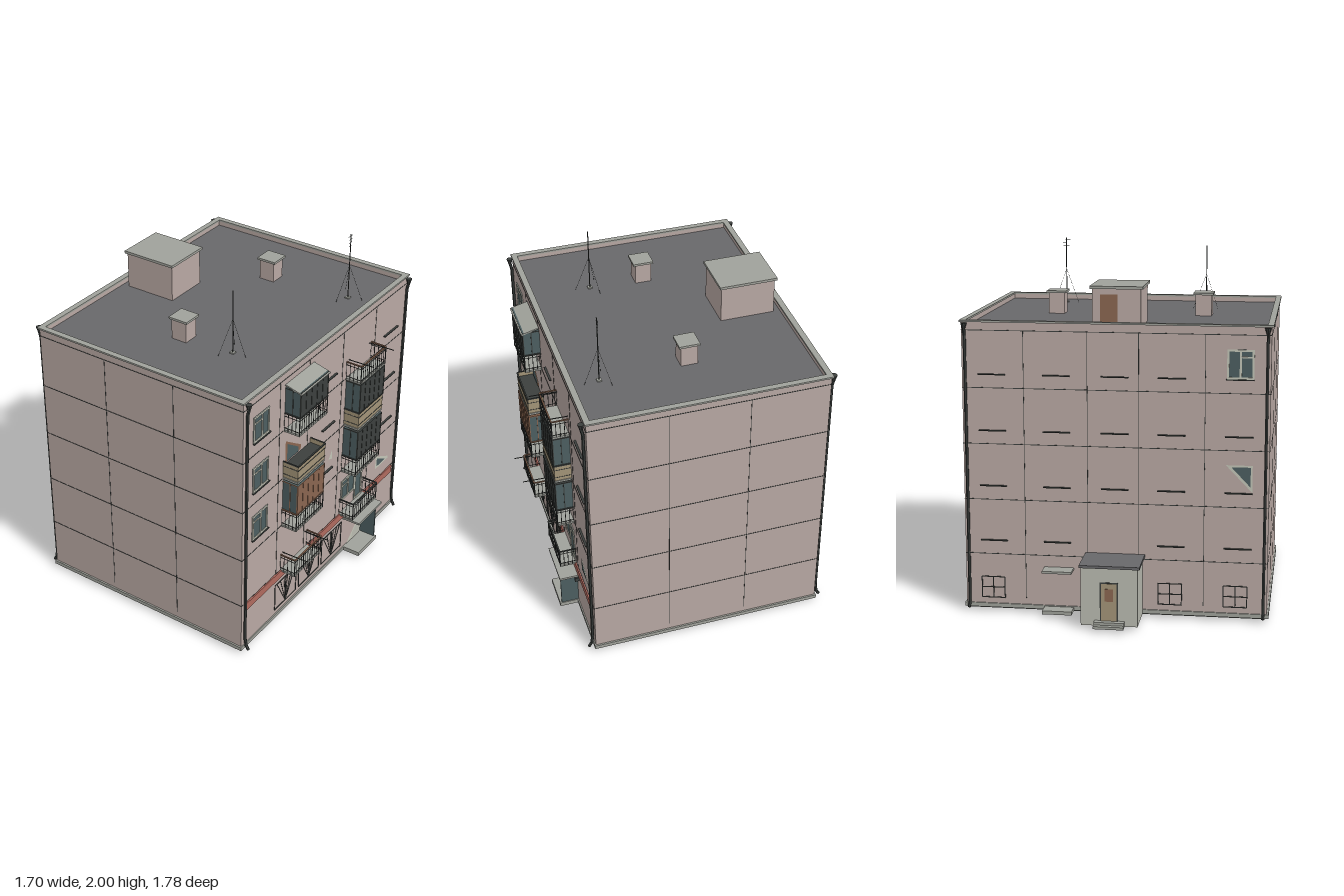
import * as THREE from 'three';

const COLORS = {
  wall: 0xb9a9a4, deck: 0x68686a, trim: 0xa0a29b, glass: 0x4d5f61, frame: 0xc4c6b8, tan: 0xa39478,
  red: 0xb06a5f, dark: 0x3c403e, plinth: 0x8d958e, wood: 0x8a6650, porch: 0xb9bab0,
};
const mats = {};
const mat = (c) => (mats[c] ??= new THREE.MeshStandardMaterial({ color: COLORS[c], flatShading: true, side: THREE.DoubleSide }));

export function createModel() {
  const root = new THREE.Group();
  const group = (name, parent = root) => {
    const g = new THREE.Group();
    g.name = name;
    parent.add(g);
    return g;
  };
  const add = (p, name, c, geo) => {
    const m = new THREE.Mesh(geo, mat(c));
    m.name = name;
    p.add(m);
    return m;
  };
  // box given by its limits
  const box = (p, name, c, x0, x1, y0, y1, z0, z1) => {
    const m = add(p, name, c, new THREE.BoxGeometry(Math.abs(x1 - x0), Math.abs(y1 - y0), Math.abs(z1 - z0)));
    m.position.set((x0 + x1) / 2, (y0 + y1) / 2, (z0 + z1) / 2);
    return m;
  };
  // thin round bar between two points
  const bar = (p, name, c, a, b, r = 0.002) => {
    const A = new THREE.Vector3(...a), d = new THREE.Vector3(...b).sub(A);
    const m = add(p, name, c, new THREE.CylinderGeometry(r, r, d.length(), 6));
    m.position.copy(A).addScaledVector(d, 0.5);
    m.quaternion.setFromUnitVectors(new THREE.Vector3(0, 1, 0), d.normalize());
    return m;
  };
  const poly = (p, name, c, pts, z) => {
    const m = add(p, name, c, new THREE.ShapeGeometry(new THREE.Shape(pts.map((q) => new THREE.Vector2(...q)))));
    m.position.z = z;
    return m;
  };
  // rectangular ring around the building
  const ring = (p, name, c, ox, oz0, oz1, t, y0, y1) => {
    const rect = (x, a, b, S) => new S([[-x, -a], [x, -a], [x, -b], [-x, -b]].map((q) => new THREE.Vector2(...q)));
    const s = rect(ox, oz0, oz1, THREE.Shape);
    s.holes.push(rect(ox - t, oz0 + t, oz1 - t, THREE.Path));
    const m = add(p, name, c, new THREE.ExtrudeGeometry(s, { depth: y1 - y0, bevelEnabled: false }));
    m.rotation.x = -Math.PI / 2;
    m.position.y = y0;
  };
  const FRONT = 0.728, BACK = -0.603;

  // main body, roof and parapet
  const body = group('building');
  box(body, 'plinth', 'plinth', -0.83, 0.83, 0, 0.03, -0.555, 0.70);
  box(body, 'walls', 'wall', -0.84, 0.84, 0.025, 1.6, BACK, FRONT);
  box(body, 'roofDeck', 'deck', -0.82, 0.82, 1.59, 1.605, -0.585, 0.705);
  ring(body, 'baseTrim', 'trim', 0.85, -0.61, 0.735, 0.03, 0.022, 0.045);
  ring(body, 'parapet', 'wall', 0.84, BACK, FRONT, 0.02, 1.6, 1.635);
  ring(body, 'parapetCap', 'trim', 0.85, -0.612, 0.735, 0.033, 1.632, 1.642);
  box(body, 'redBand', 'red', -0.8, 0.8, 0.285, 0.333, FRONT, 0.737);

  // panel joints
  const seams = group('panelSeams');
  for (const y of [0.333, 0.645, 0.96, 1.272, 1.588])
    box(seams, 'floorSeam', 'dark', -0.8415, 0.8415, y - 0.002, y + 0.002, BACK - 0.0015, FRONT + 0.0015);
  for (const x of [-0.5, -0.215, 0.135, 0.49]) box(seams, 'frontSeam', 'dark', x - 0.0015, x + 0.0015, 0.335, 1.588, FRONT, FRONT + 0.0015);
  for (const x of [-0.49, -0.13, 0.15, 0.5]) box(seams, 'backSeam', 'dark', x - 0.0015, x + 0.0015, 0.08, 1.588, BACK, BACK - 0.0015);
  for (const z of [0.29, -0.16]) box(seams, 'sideSeam', 'dark', -0.8415, 0.8415, 0.08, 1.588, z - 0.0015, z + 0.0015);

  // downpipes at the four corners
  const pipes = group('downpipes');
  for (const x of [-0.82, 0.82])
    for (const [z, s] of [[FRONT, 1], [BACK, -1]]) {
      const path = [[0.025, 0.035], [0.05, 0.02], [0.1, 0.012], [1.56, 0.012], [1.6, 0.02]];
      const pts = path.map(([y, o]) => new THREE.Vector3(x, y, z + s * o));
      path.slice(1).forEach((_, i) => bar(pipes, 'pipe', 'dark', pts[i].toArray(), pts[i + 1].toArray(), 0.009));
      const h = add(pipes, 'rainHead', 'dark', new THREE.CylinderGeometry(0.018, 0.008, 0.035, 8));
      h.position.set(x, 1.612, z + s * 0.02);
    }

  // casement window on the front (s = 1) or back (s = -1)
  const windowAt = (name, x0, x1, y0, y1, s = 1, mullion = 0.5) => {
    const g = group(name), z = s > 0 ? FRONT : BACK, xm = x0 + (x1 - x0) * mullion, t = 0.011;
    box(g, 'glass', 'glass', x0, x1, y0, y1, z, z + s * 0.002);
    for (const x of [x0, xm - t / 2, x1 - t]) box(g, 'stile', 'frame', x, x + t, y0, y1, z, z + s * 0.006);
    for (const y of [y0, y1 - t]) box(g, 'rail', 'frame', x0, x1, y, y + t, z, z + s * 0.006);
    box(g, 'transom', 'frame', x0, xm, y1 - 0.045, y1 - 0.037, z, z + s * 0.006);
  };
  const sill = (x, y, w, s) => {
    const z = s > 0 ? FRONT : BACK;
    box(root, 'windowSill', 'dark', x - w / 2, x + w / 2, y - 0.003, y + 0.003, z, z + s * 0.012);
  };
  for (const y of [0.727, 1.038, 1.35]) {
    windowAt('frontWindow', -0.75, -0.605, y, y + 0.155, 1, 0.55);
    sill(-0.675, y - 0.003, 0.155, 1);
    sill(0.672, y - 0.003, 0.155, 1);
    sill(0, y + 0.015, 0.13, 1);
  }
  windowAt('backWindow', -0.75, -0.605, 1.35, 1.51, -1);
  for (const y of [0.415, 0.727, 1.038, 1.35])
    for (const x of [-0.675, -0.31, 0, 0.32, 0.675]) if (x || y > 0.5) sill(x, y - 0.003, 0.15, -1);
  // partly covered windows
  poly(root, 'partWindow', 'frame', [[0.595, 0.415], [0.75, 0.415], [0.75, 0.43], [0.595, 0.51]], FRONT + 0.003);
  poly(root, 'partGlass', 'glass', [[0.607, 0.43], [0.715, 0.43], [0.607, 0.49]], FRONT + 0.005);
  poly(root, 'partWindow', 'wood', [[-0.44, 1.06], [-0.285, 1.06], [-0.285, 1.09], [-0.44, 1.195]], FRONT + 0.003);
  poly(root, 'partGlass', 'glass', [[-0.425, 1.06], [-0.31, 1.06], [-0.31, 1.09], [-0.425, 1.17]], FRONT + 0.005);
  poly(root, 'stairGlass', 'frame', [[0.025, 0.81], [0.06, 0.80], [0.06, 0.865]], FRONT + 0.003);
  poly(root, 'partWindow', 'frame', [[-0.605, 0.88], [-0.75, 0.88], [-0.75, 0.73]], BACK - 0.003);
  poly(root, 'partGlass', 'glass', [[-0.635, 0.87], [-0.74, 0.87], [-0.74, 0.76]], BACK - 0.005);
  // balcony window and door on the first floor
  windowAt('balconyWindow', 0.19, 0.345, 0.42, 0.56);
  windowAt('balconyDoor', 0.345, 0.43, 0.34, 0.56, 1, 0.9);

  // balconies: x range, floor level, and how each is enclosed
  const balcony = (x0, x1, y, { panel, glazed, roof, mullion = 'dark', rods }) => {
    const g = group('balcony'), z0 = FRONT, z1 = 0.823, top = y + 0.11;
    box(g, 'slab', 'trim', x0, x1, y - 0.006, y + 0.006, z0, z1);
    if (panel) {
      box(g, 'frontPanel', 'tan', x0, x1, y + 0.01, top, z1 - 0.004, z1);
      for (const x of [x0, x1 - 0.004]) box(g, 'sidePanel', 'tan', x, x + 0.004, y + 0.01, top, z0, z1);
      for (const h of [0.03, 0.08]) box(g, 'panelRail', 'dark', x0 - 0.001, x1 + 0.001, y + h, y + h + 0.004, z0, z1 + 0.002);
    } else {
      for (let i = 0; i <= 12; i++) {
        const x = x0 + ((x1 - x0) * i) / 12;
        bar(g, 'baluster', 'dark', [x, y, z1], [x, top, z1], i % 4 ? 0.0018 : 0.0035);
      }
      for (const x of [x0, x1])
        for (let i = 0; i < 4; i++) bar(g, 'sideBaluster', 'dark', [x, y, z0 + 0.024 * i], [x, top, z0 + 0.024 * i]);
      for (const h of [y + 0.02, top - 0.018]) {
        bar(g, 'lowRail', 'dark', [x0, h, z1], [x1, h, z1]);
        for (const x of [x0, x1]) bar(g, 'sideRail', 'dark', [x, h, z0], [x, h, z1]);
      }
    }
    box(g, 'handRail', mullion, x0, x1, top - 0.003, top + 0.004, z1 - 0.004, z1 + 0.004);
    for (const x of [x0, x1]) box(g, 'sideHandRail', mullion, x - 0.003, x + 0.003, top - 0.003, top + 0.004, z0, z1);
    if (glazed) {
      const gy = glazed;
      box(g, 'glazing', 'glass', x0 + 0.003, x1 - 0.003, top, gy, z0, z1);
      for (let i = 0; i <= 5; i++) {
        const x = x0 + ((x1 - x0 - 0.005) * i) / 5;
        box(g, 'mullion', mullion, x, x + 0.005, top, gy, z1, z1 + 0.003);
      }
      for (const z of [z0 + 0.045, z1 - 0.004]) box(g, 'sideMullion', mullion, x0, x1, top, gy, z, z + 0.005);
      box(g, 'headRail', mullion, x0, x1, gy - 0.006, gy, z0, z1 + 0.003);
    }
    if (roof) box(g, 'slopedRoof', 'trim', x0 - 0.003, x1 + 0.003, roof - 0.004, roof + 0.004, z0, z1 + 0.012).rotation.x = 0.26;
    if (rods) for (const x of [x0 + 0.022, x1 - 0.022]) bar(g, 'dryingRod', 'dark', [x, top + 0.004, z0], [x, top + 0.008, 0.885], 0.003);
  };
  const L = [-0.455, -0.18], R = [0.18, 0.45];
  balcony(...L, 1.27, { glazed: 1.535, roof: 1.54 });
  balcony(...L, 0.963, { panel: true });
  balcony(...L, 0.645, { glazed: 0.945, mullion: 'wood' });
  balcony(...L, 0.33, { rods: true, mullion: 'wood' });
  balcony(...R, 1.27, { rods: true, mullion: 'wood' });
  balcony(...R, 0.963, { panel: true, glazed: 1.26 });
  balcony(...R, 0.645, { glazed: 0.945 });
  balcony(...R, 0.33, {});

  // ground-floor window grilles with fanned bars
  const grille = (x0, x1, y0, y1, s, fan) => {
    const g = group('windowGrille'), z = s > 0 ? FRONT + 0.005 : BACK - 0.005, xm = (x0 + x1) / 2;
    for (const y of [y0, y1]) bar(g, 'frameBar', 'dark', [x0, y, z], [x1, y, z], 0.003);
    for (const x of [x0, xm, x1]) bar(g, 'frameBar', 'dark', [x, y0, z], [x, y1, z], 0.003);
    if (!fan) return bar(g, 'crossBar', 'dark', [x0, (y0 + y1) / 2, z], [x1, (y0 + y1) / 2, z], 0.003);
    for (let i = 0; i < 6; i++) {
      const x = x0 + ((x1 - x0) * (i + 0.5)) / 6;
      bar(g, 'fanBar', 'dark', [xm, y0, z], [x, y1, z]);
    }
  };
  for (const x of [-0.51, -0.26, -0.01]) grille(x, x + 0.22, 0.08, 0.255, 1, true);
  for (const x of [-0.73, -0.37, 0.62]) grille(x, x + 0.13, 0.08, 0.2, -1, false);

  // front entrance
  const entry = group('frontEntrance');
  box(entry, 'canopy', 'trim', 0.23, 0.5, 0.265, 0.278, FRONT, 0.842);
  box(entry, 'landing', 'trim', 0.25, 0.46, 0.02, 0.045, FRONT, 0.84);
  box(entry, 'sideScreen', 'glass', 0.447, 0.455, 0.02, 0.24, FRONT, 0.83);
  poly(entry, 'doorSurround', 'frame', [[0.27, 0.03], [0.455, 0.03], [0.455, 0.2]], FRONT + 0.004);
  poly(entry, 'door', 'porch', [[0.345, 0.03], [0.43, 0.03], [0.43, 0.165], [0.345, 0.09]], FRONT + 0.007);
  box(entry, 'lamp', 'dark', 0.482, 0.5, 0.23, 0.255, FRONT, FRONT + 0.025);

  // back porch and side canopy
  const porch = group('backPorch');
  box(porch, 'porchWalls', 'porch', -0.155, 0.155, 0.02, 0.348, BACK, -0.83);
  box(porch, 'porchRoof', 'deck', -0.167, 0.163, 0.345, 0.36, BACK, -0.845);
  box(porch, 'doorFrame', 'dark', -0.05, 0.05, 0.05, 0.265, -0.83, -0.833);
  box(porch, 'porchDoor', 'tan', -0.042, 0.042, 0.05, 0.258, -0.83, -0.836);
  box(porch, 'doorPane', 'wood', -0.022, 0.022, 0.16, 0.23, -0.836, -0.838);
  box(porch, 'upperStep', 'trim', -0.085, 0.08, 0.035, 0.05, -0.83, -0.865);
  box(porch, 'lowerStep', 'trim', -0.085, 0.08, 0.02, 0.035, -0.83, -0.89);
  box(porch, 'sideCanopy', 'trim', 0.23, 0.395, 0.255, 0.268, BACK, -0.69);
  box(porch, 'sideLanding', 'trim', 0.23, 0.395, 0.02, 0.04, BACK, -0.69);

  // roof access house and vent shafts
  const house = group('roofHouse');
  box(house, 'houseWalls', 'wall', -0.135, 0.13, 1.6, 1.817, -0.545, -0.235);
  box(house, 'houseCap', 'trim', -0.147, 0.142, 1.815, 1.83, -0.556, -0.224);
  box(house, 'houseDoor', 'wood', -0.01, 0.085, 1.61, 1.785, -0.545, -0.549);
  for (const x of [-0.427, 0.424]) {
    const v = group('ventShaft');
    box(v, 'shaft', 'wall', x - 0.046, x + 0.046, 1.6, 1.725, 0.013, 0.107);
    box(v, 'shaftCap', 'trim', x - 0.057, x + 0.057, 1.724, 1.737, 0.003, 0.12);
  }

  // aerials with guy wires
  for (const [x, z, top, a0] of [[-0.415, 0.37, 1.975, 0.5], [0.46, 0.555, 2, 0.7]]) {
    const g = group('aerial');
    bar(g, 'mast', 'dark', [x, 1.6, z], [x, top, z], 0.003);
    box(g, 'mastFoot', 'trim', x - 0.013, x + 0.013, 1.603, 1.612, z - 0.013, z + 0.013);
    for (let i = 0; i < 3; i++) {
      const a = a0 + (i * Math.PI * 2) / 3;
      bar(g, 'guyWire', 'dark', [x, 1.81, z], [x + 0.085 * Math.cos(a), 1.605, z - 0.085 * Math.sin(a)], 0.0008);
    }
    if (x > 0) for (let i = 0; i < 4; i++) bar(g, 'element', 'dark', [x - 0.025 + i * 0.003, top - 0.01 - i * 0.02, z], [x + 0.025 - i * 0.003, top - 0.01 - i * 0.02, z], 0.001);
  }
  return root;
}
